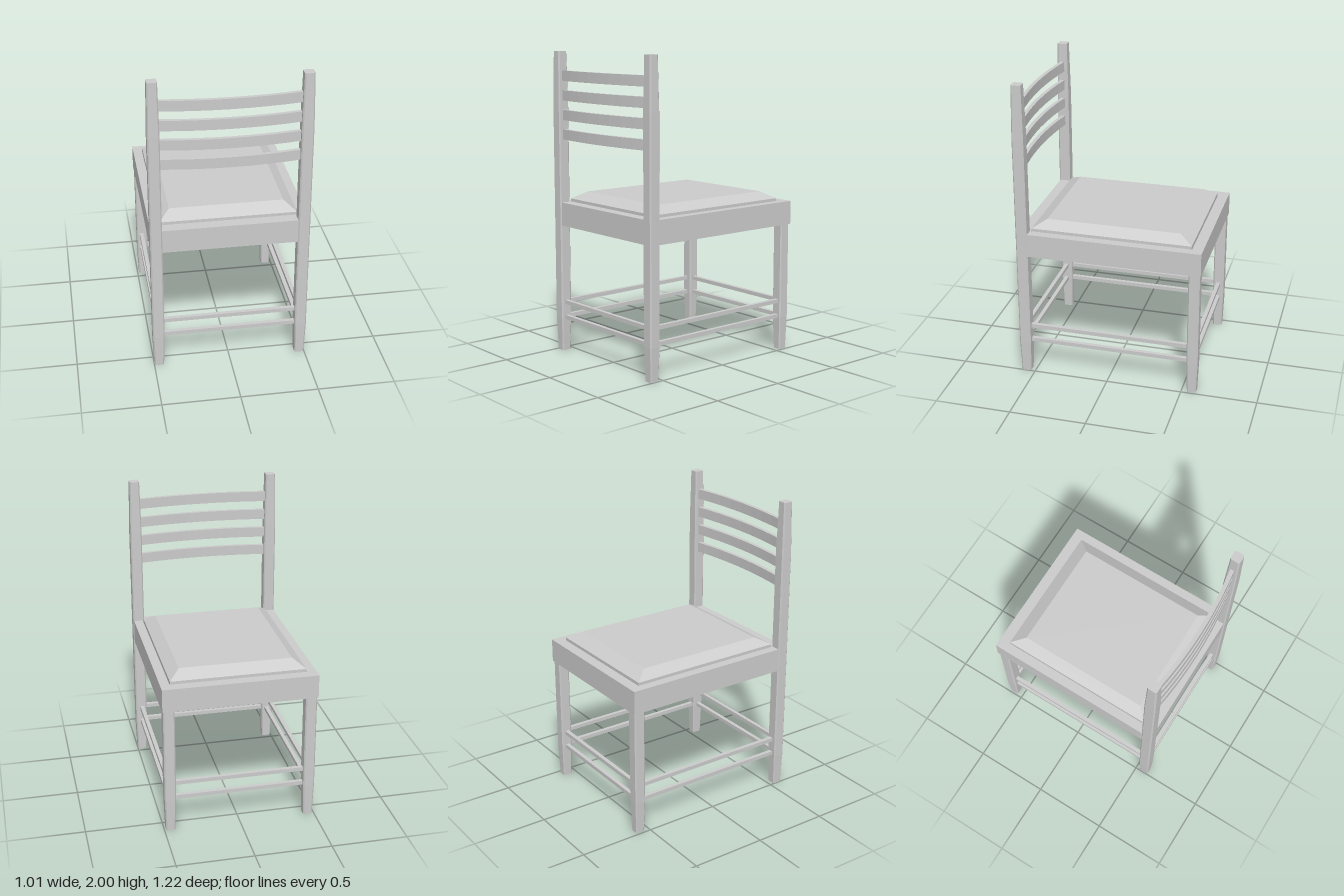
import * as THREE from 'three';

const material = new THREE.MeshStandardMaterial({ color: 0xcccccc, flatShading: true, side: THREE.DoubleSide });

// Hollow loft, open below: levels run top to bottom as [y, halfX, halfZ, centreZ, chamfer]
function loft(sides, levels, capped = true) {
  const rows = levels.length - 1;
  const geo = new THREE.CylinderGeometry(1, 1, 1, sides, rows, false, Math.PI / sides);
  const pos = geo.attributes.position;
  for (let i = 0; i < pos.count; i++) {
    const [y, hx, hz, cz = 0, c = 0] = levels[Math.round((0.5 - pos.getY(i)) * rows)];
    const place = (v, half) => (Math.abs(v) < 1e-6 ? 0 : Math.sign(v) * (Math.abs(v) > 0.5 ? half : half - c));
    pos.setXYZ(i, place(pos.getX(i), hx), y, cz + place(pos.getZ(i), hz));
  }
  // Drop the bottom cap, and the top one when the loft is open above
  const index = Array.from(geo.index.array);
  geo.setIndex(index.slice(0, index.length - sides * 3 * (capped ? 1 : 2)));
  geo.computeVertexNormals();
  return geo;
}

export function createModel() {
  const chair = new THREE.Group();
  chair.name = 'chair';
  const add = (name, geo, x = 0, y = 0, z = 0) => {
    const mesh = new THREE.Mesh(geo, material);
    mesh.name = name;
    mesh.position.set(x, y, z);
    chair.add(mesh);
  };

  // Chamfered posts and legs, tapering towards their ends
  const section = (y, h) => [y, h, h, 0, 0.008];
  const post = loft(8, [section(2, 0.032), section(1.65, 0.038), section(0.22, 0.038), section(0, 0.031)]);
  const leg = loft(8, [section(1.0, 0.037), section(0.22, 0.037), section(0, 0.03)]);
  for (const [side, s] of [['left', 1], ['right', -1]]) {
    add(side + 'BackPost', post, s * 0.467, 0, 0.56);
    add(side + 'FrontLeg', leg, s * 0.458, 0, -0.567);
  }

  // Seat apron with a flat rim around the cushion
  add('seatFrame', loft(4, [
    [1.01, 0.44, 0.5275, -0.0125],
    [1.01, 0.5, 0.6, -0.01],
    [0.855, 0.5, 0.6, -0.01],
  ], false));

  // Cushion with bevelled sides
  add('cushion', loft(4, [
    [1.075, 0.365, 0.4375, -0.0125],
    [1.028, 0.437, 0.524, -0.0125],
    [1.0, 0.437, 0.524, -0.0125],
  ]));

  // Two thin stretchers on each of the four sides
  const crossBar = new THREE.BoxGeometry(0.88, 0.026, 0.026);
  const sideBar = new THREE.BoxGeometry(0.026, 0.026, 1.07);
  for (const y of [0.23, 0.333]) {
    add('backStretcher', crossBar, 0, y, 0.56);
    add('frontStretcher', crossBar, 0, y, -0.567);
    for (const s of [1, -1]) add('sideStretcher', sideBar, s * 0.462, y, -0.003);
  }

  // Bowed back slats
  const slat = new THREE.BoxGeometry(0.88, 0.067, 0.025, 8, 1, 1);
  const p = slat.attributes.position;
  for (let i = 0; i < p.count; i++) p.setZ(i, p.getZ(i) + 0.035 * (1 - (p.getX(i) / 0.44) ** 2));
  slat.computeVertexNormals();
  for (let i = 0; i < 4; i++) add('backSlat', slat, 0, 1.46 + i * 0.1275, 0.5575);

  return chair;
}
